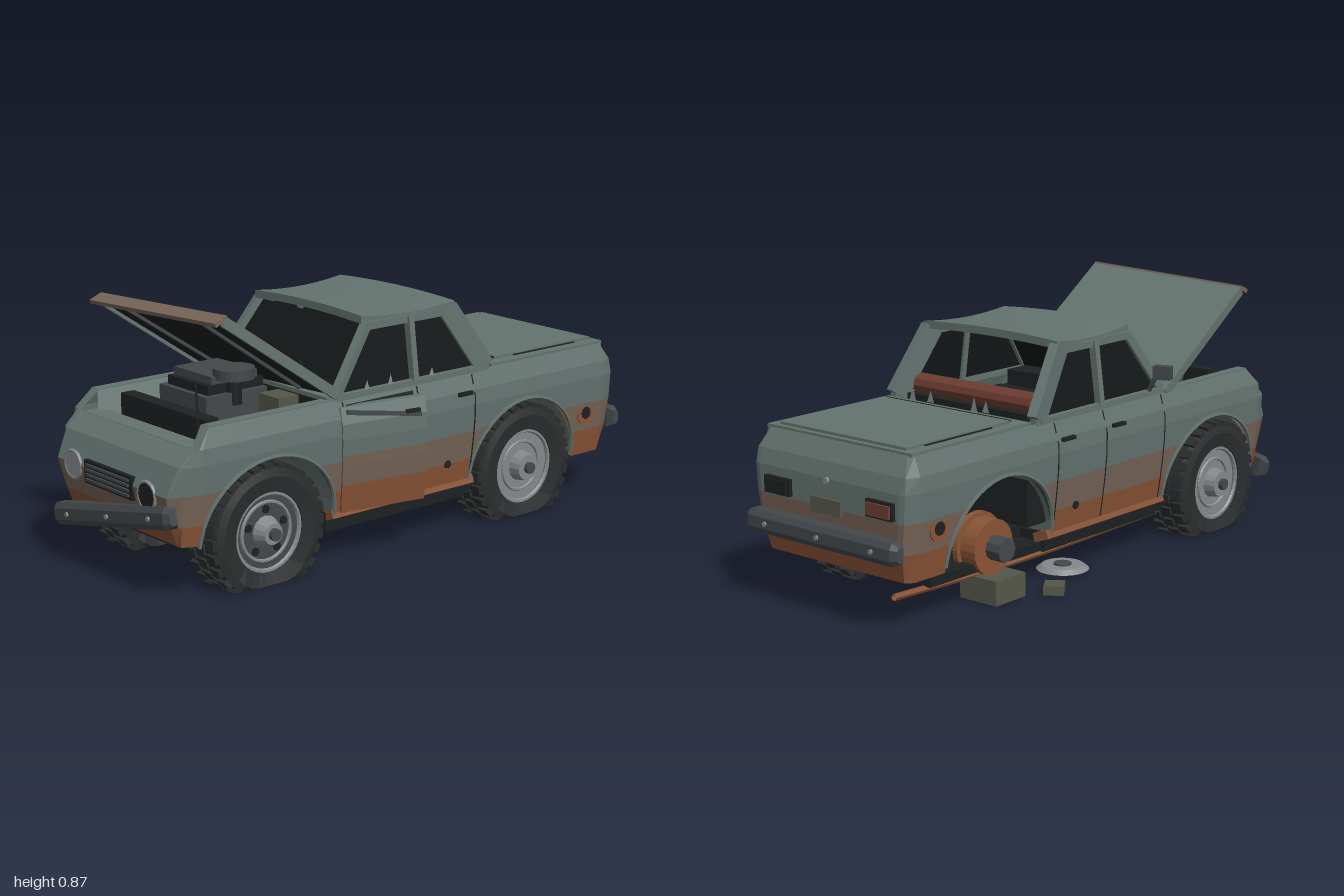
import * as THREE from 'three';

const PAINT = 0x64736f, RUST = 0x8a5436, MIX = 0x776558, DARK = 0x1d2122, RUBBER = 0x2b2d2e,
  STEEL = 0x85888a, TRIM = 0x43484b, CLAY = 0x6d3d30, GLASS = 0x141819, OLIVE = 0x55564a;

// Body section by height: [y, half width, nose z, tail z]
const SECTION = [[0.13, 0.305, 0.905, -0.9], [0.24, 0.322, 0.955, -0.925], [0.34, 0.335, 0.978, -0.935],
  [0.43, 0.341, 0.938, -0.935], [0.48, 0.337, 0.882, -0.922], [0.54, 0.314, 0.83, -0.888]];
const ARCHES = [{ z: -0.497, w: 0.25 }, { z: 0.605, w: 0.265 }];

function section(y, k) {
  let i = 0;
  while (i < SECTION.length - 2 && y > SECTION[i + 1][0]) i++;
  const a = SECTION[i], b = SECTION[i + 1];
  return THREE.MathUtils.mapLinear(y, a[0], b[0], a[k], b[k]);
}
function bottomEdge(z) {
  for (const a of ARCHES) {
    const d = (z - a.z) / a.w;
    if (Math.abs(d) < 1) return 0.166 + 0.245 * Math.sqrt(1 - d * d);
  }
  return z > 0.4 ? 0.175 : z < -0.5 ? 0.15 : 0.166;
}
function bodyPoint(side, z, level, offset = 0) {
  const y = Math.max(level, bottomEdge(z));
  const corner = 0.04 * THREE.MathUtils.clamp((Math.abs(z) - 0.88) / 0.1, 0, 1);
  return [side * (section(y, 1) - corner + offset), y, THREE.MathUtils.clamp(z, section(y, 3), section(y, 2))];
}

export function createModel() {
  const car = new THREE.Group();
  car.name = 'wreckedCar';
  const add = (name, geo, color, parent = car) => {
    const m = new THREE.Mesh(geo, new THREE.MeshStandardMaterial({ color, flatShading: true, side: THREE.DoubleSide }));
    m.name = name;
    parent.add(m);
    return m;
  };
  const box = (name, size, pos, color, parent = car, rot = [0, 0, 0]) => {
    const m = add(name, new THREE.BoxGeometry(...size), color, parent);
    m.position.set(...pos);
    m.rotation.set(...rot);
    return m;
  };
  // Cylinder lying along 'x' or 'z', or standing along 'y'
  const disc = (name, r, len, pos, axis, color, parent = car, r2 = r, n = 24) => {
    const g = new THREE.CylinderGeometry(r, r2, len, n);
    if (axis === 'x') g.rotateZ(-Math.PI / 2);
    if (axis === 'z') g.rotateX(Math.PI / 2);
    const m = add(name, g, color, parent);
    m.position.set(...pos);
    return m;
  };
  const beam = (name, a, b, w, d, color, parent = car) => {
    const p = new THREE.Vector3(...a), q = new THREE.Vector3(...b);
    const m = add(name, new THREE.BoxGeometry(w, d, p.distanceTo(q)), color, parent);
    m.position.copy(p).lerp(q, 0.5);
    m.quaternion.setFromRotationMatrix(new THREE.Matrix4().lookAt(q, p, m.up));
    return m;
  };
  const grid = (cols, rows, fn) => {
    const pos = [], idx = [];
    for (let j = 0; j < rows; j++) for (let i = 0; i < cols; i++) pos.push(...fn(i, j));
    for (let j = 0; j < rows - 1; j++) for (let i = 0; i < cols - 1; i++) {
      const a = j * cols + i, b = a + cols;
      idx.push(a, a + 1, b + 1, a, b + 1, b);
    }
    const g = new THREE.BufferGeometry();
    g.setAttribute('position', new THREE.Float32BufferAttribute(pos, 3));
    g.setIndex(idx);
    g.computeVertexNormals();
    return g;
  };
  const quad = (name, a, b, c, d, color) => add(name, grid(2, 2, (i, j) => [[a, b], [d, c]][j][i]), color);

  // Body shell: horizontal bands running round the car, cut by the wheel arches
  const zs = [-1, -0.93, -0.88, -0.8, -0.1, 0.1, 1, 0.93, 0.885];
  for (const a of ARCHES) for (let i = 0; i <= 18; i++) zs.push(a.z - a.w * Math.cos(i * Math.PI / 18));
  zs.sort((a, b) => a - b);
  const loop = [...zs.map(z => [-1, z]), ...zs.slice().reverse().map(z => [1, z]), [-1, -1]];
  [RUST, MIX, PAINT, PAINT].forEach((color, k) => add('bodyBand', grid(loop.length, 2,
    (i, j) => bodyPoint(loop[i][0], loop[i][1], SECTION[k + j][0])), color));
  for (const s of [-1, 1]) add('shoulder', grid(zs.length, 2,
    (i, j) => bodyPoint(s, s < 0 ? zs[i] : zs[zs.length - 1 - i], SECTION[4 + j][0])), PAINT);
  quad('tailShoulder', [0.297, 0.48, -0.922], [-0.297, 0.48, -0.922], [-0.274, 0.54, -0.888], [0.274, 0.54, -0.888], PAINT);
  const strip = (name, side, z0, z1, y0, y1, off, color) => add(name, grid(2, 6, (i, j) =>
    bodyPoint(side, [z0, z1][side < 0 ? i : 1 - i], y0 + (y1 - y0) * j / 5, off)), color);

  // Wheel tunnels and arch lips
  for (const a of ARCHES) {
    const arc = (t, x) => [x, 0.166 + 0.245 * Math.sin(t), a.z - a.w * Math.cos(t)];
    add('wheelTunnel', grid(2, 19, (i, j) => arc(j * Math.PI / 18, i ? 0.31 : -0.31)), PAINT);
    for (const s of [-1, 1]) {
      const pts = [];
      for (let i = 0; i <= 12; i++) {
        const p = arc(i * Math.PI / 12, 0);
        pts.push(new THREE.Vector3(s * section(p[1], 1), p[1], p[2]));
      }
      add('archLip', new THREE.TubeGeometry(new THREE.CatmullRomCurve3(pts), 24, 0.007, 5), PAINT);
    }
  }

  // Underside, sills and axles
  box('floorPan', [0.56, 0.065, 0.6], [0, 0.13, 0.05], DARK);
  box('chassis', [0.36, 0.07, 1.57], [0, 0.135, 0.02], DARK);
  box('floorPlate', [0.54, 0.03, 1.17], [0, 0.115, -0.187], DARK);
  box('frontCrossMember', [0.38, 0.025, 0.04], [0, 0.17, 0.84], TRIM);
  box('tailUnderside', [0.59, 0.01, 0.145], [0, 0.155, -0.825], RUST);
  box('noseUnderside', [0.58, 0.01, 0.06], [0, 0.18, 0.89], RUST);
  for (const s of [-1, 1]) box('sill', [0.06, 0.03, 0.62], [s * 0.284, 0.155, 0.04], RUST, car, [0, 0, s * 0.35]);
  for (const a of ARCHES) disc('axle', 0.022, 0.5, [0, 0.166, a.z], 'x', RUST, car, 0.022, 10);
  add('exhaust', new THREE.TubeGeometry(new THREE.CatmullRomCurve3([[-0.24, 0.09, 0.4], [-0.24, 0.08, -0.2],
    [-0.24, 0.085, -0.6], [-0.25, 0.1, -0.91]].map(p => new THREE.Vector3(...p))), 20, 0.011, 6), RUST);

  // Engine bay
  box('bayFloor', [0.58, 0.02, 0.54], [0, 0.42, 0.6], DARK);
  box('firewall', [0.6, 0.14, 0.02], [0, 0.47, 0.34], DARK);
  for (const s of [-1, 1]) {
    quad('bayWall', [s * 0.235, 0.43, 0.34], [s * 0.235, 0.43, 0.86], [s * 0.28, 0.54, 0.83], [s * 0.28, 0.54, 0.34], PAINT);
    box('fenderTop', [0.036, 0.01, 0.5], [s * 0.297, 0.536, 0.58], PAINT);
  }
  box('noseShelf', [0.56, 0.012, 0.07], [0, 0.472, 0.85], PAINT);
  box('radiator', [0.45, 0.11, 0.05], [0.01, 0.48, 0.76], DARK);
  box('engineBlock', [0.25, 0.14, 0.24], [-0.025, 0.49, 0.56], TRIM);
  box('cylinderHead', [0.21, 0.03, 0.22], [-0.025, 0.575, 0.55], DARK);
  box('valveCover', [0.2, 0.025, 0.18], [-0.025, 0.603, 0.55], TRIM);
  disc('airCleaner', 0.067, 0.034, [0.085, 0.622, 0.56], 'y', TRIM);
  disc('airCleanerStem', 0.025, 0.1, [0.085, 0.57, 0.56], 'y', DARK);
  box('battery', [0.1, 0.08, 0.08], [0.17, 0.51, 0.45], OLIVE);
  beam('antenna', [0.235, 0.5, 0.81], [0.23, 0.65, 0.815], 0.006, 0.006, DARK);

  // Raised hood, slightly twisted
  const hood = new THREE.Group();
  hood.name = 'hood';
  hood.position.set(0, 0.545, 0.335);
  hood.rotation.set(-0.595, 0, 0.05);
  car.add(hood);
  box('hoodPanel', [0.64, 0.014, 0.53], [0, 0.004, 0.265], PAINT, hood);
  box('hoodLining', [0.62, 0.008, 0.51], [0, -0.007, 0.265], DARK, hood);
  box('hoodLip', [0.64, 0.05, 0.014], [0, -0.01, 0.543], MIX, hood, [-0.6, 0, 0]);
  for (const s of [-1, 1]) {
    box('hoodRib', [0.012, 0.014, 0.48], [s * 0.18, -0.014, 0.27], TRIM, hood, [0, s * 0.05, 0]);
    box('hoodEdge', [0.012, 0.03, 0.53], [s * 0.314, -0.007, 0.265], PAINT, hood);
  }

  // Nose: grille, headlights
  box('grille', [0.26, 0.075, 0.03], [-0.01, 0.33, 0.965], DARK);
  for (let i = 0; i < 4; i++) box('grilleBar', [0.23, 0.008, 0.01], [-0.01, 0.306 + i * 0.016, 0.982], TRIM);
  for (const [x, y, c] of [[-0.21, 0.335, STEEL], [0.19, 0.325, DARK]]) {
    const ring = add('headlightRing', new THREE.TorusGeometry(0.044, 0.006, 6, 20), STEEL);
    ring.position.set(x, y, 0.974);
    disc('headlight', 0.042, 0.02, [x, y, 0.968], 'z', c);
  }

  // Bumpers with chamfered ends; the front one hangs loose
  const bumper = (name, y, z, tilt, turn) => {
    const g = new THREE.Group();
    g.name = name;
    g.position.set(-0.005, y, z);
    g.rotation.set(0, turn, tilt);
    car.add(g);
    const s = new THREE.Shape([[-0.026, -0.036], [0.012, -0.036], [0.024, -0.018], [0.024, 0.018], [0.012, 0.036], [-0.026, 0.036]]
      .map(p => new THREE.Vector2(...p)));
    const geo = new THREE.ExtrudeGeometry(s, { depth: 0.61, bevelThickness: 0.022, bevelSize: 0.012, bevelOffset: -0.012, bevelSegments: 1 });
    add('bumperBar', geo.translate(0, 0, -0.305).rotateY(-Math.PI / 2), TRIM, g);
    for (const e of [-0.23, 0, 0.23]) disc('bumperBolt', 0.008, 0.012, [e, 0, 0.024], 'z', STEEL, g, 0.008, 8);
  };
  bumper('frontBumper', 0.215, 0.968, 0.21, 0);
  bumper('rearBumper', 0.258, -0.965, 0, Math.PI);

  // Tail: deck, lid, lamps, plate
  box('rearDeck', [0.62, 0.012, 0.54], [0, 0.542, -0.618], PAINT);
  box('trunkLid', [0.54, 0.014, 0.47], [0, 0.55, -0.635], PAINT);
  box('trunkSeam', [0.54, 0.004, 0.006], [0, 0.556, -0.398], DARK);
  for (const s of [-1, 1]) box('trunkSideSeam', [0.006, 0.004, 0.3], [s * 0.272, 0.55, -0.64], DARK);
  for (const [x, c] of [[0.21, DARK], [-0.23, CLAY]]) {
    box('tailLampFrame', [0.11, 0.055, 0.025], [x, 0.375, -0.937], DARK);
    box('tailLamp', [0.095, 0.04, 0.03], [x, 0.375, -0.942], c);
  }
  box('blankPlate', [0.13, 0.05, 0.012], [0, 0.345, -0.94], OLIVE);
  disc('trunkLock', 0.01, 0.012, [0, 0.425, -0.938], 'z', STEEL);

  // Cabin: pillars, glazing, roof, interior
  box('cowl', [0.61, 0.014, 0.06], [0, 0.542, 0.335], PAINT);
  box('interior', [0.58, 0.3, 0.64], [0, 0.35, -0.02], DARK);
  disc('rearSeat', 0.036, 0.5, [-0.01, 0.585, -0.265], 'x', CLAY, car, 0.036, 10);
  box('rearSeatBase', [0.52, 0.06, 0.12], [-0.01, 0.53, -0.26], DARK);
  box('dashboard', [0.54, 0.06, 0.1], [0, 0.525, 0.26], DARK);
  for (const s of [-1, 1]) {
    beam('frontPillar', [s * 0.303, 0.545, 0.33], [s * 0.274, 0.755, 0.175], 0.028, 0.028, PAINT);
    beam('middlePillar', [s * 0.306, 0.545, 0.0], [s * 0.278, 0.755, 0.0], 0.022, 0.034, PAINT);
    beam('rearPillar', [s * 0.304, 0.545, -0.315], [s * 0.276, 0.755, -0.172], 0.034, 0.07, PAINT);
    box('beltRail', [0.026, 0.02, 0.66], [s * 0.305, 0.542, 0], PAINT);
    box('roofRail', [0.024, 0.025, 0.37], [s * 0.276, 0.748, 0], PAINT);
    quad('sideGlass', [s * 0.298, 0.55, 0.31], [s * 0.298, 0.55, -0.3], [s * 0.27, 0.75, -0.17], [s * 0.27, 0.75, 0.17], GLASS);
    beam('wiper', [s * 0.14 + 0.12, 0.56, 0.345], [s * 0.14 - 0.05, 0.585, 0.325], 0.006, 0.006, DARK);
  }
  beam('brokenWiper', [0.2, 0.55, 0.34], [0.18, 0.65, 0.37], 0.006, 0.006, DARK);
  quad('windshield', [-0.29, 0.55, 0.32], [0.29, 0.55, 0.32], [0.262, 0.75, 0.17], [-0.262, 0.75, 0.17], GLASS);
  const roof = new THREE.BoxGeometry(0.58, 0.026, 0.39, 8, 1, 10);
  const rp = roof.attributes.position;
  for (let i = 0; i < rp.count; i++) {
    const x = rp.getX(i), z = rp.getZ(i);
    rp.setX(i, x * (0.97 - 0.15 * z));
    rp.setY(i, rp.getY(i) + 0.765 + 0.35 * z * z - 0.12 * x * x);
  }
  add('roof', roof, PAINT);
  for (let i = 0; i < 7; i++) {
    const rear = i < 4;
    const m = add('glassShard', new THREE.ConeGeometry(0.018, 0.04 + 0.01 * (i % 2), 3).scale(1, 1, 0.2), STEEL);
    m.position.set(rear ? [-0.12, -0.07, 0.12, 0.2][i] : 0.308, rear ? 0.57 : 0.56, rear ? -0.345 : [-0.08, 0.1, 0.2][i - 4]);
    m.rotation.y = rear ? 0 : Math.PI / 2;
  }
  box('mirrorHead', [0.06, 0.045, 0.035], [-0.37, 0.62, 0.26], TRIM, car, [0, 0.3, 0]);
  beam('mirrorArm', [-0.31, 0.545, 0.26], [-0.345, 0.61, 0.26], 0.012, 0.012, TRIM);

  // Door seams, handles and rust holes
  for (const s of [-1, 1]) {
    for (const z of [0.315, 0, -0.247]) strip('doorSeam', s, z - 0.003, z + 0.003, 0.17, 0.53, 0.003, DARK);
    box('rearDoorHandle', [0.014, 0.012, 0.06], [s * 0.343, 0.475, -0.2], DARK);
    disc('rustPatch', 0.042, 0.014, [s * 0.326, 0.305, -0.795], 'x', RUST, car, 0.042, 12);
    disc('rustHole', 0.022, 0.02, [s * 0.326, 0.305, -0.795], 'x', DARK, car, 0.022, 10);
    disc('rustSpot', 0.014, 0.012, [s * 0.321, 0.24, -0.14], 'x', DARK, car, 0.014, 7);
  }
  box('closedDoorHandle', [0.014, 0.012, 0.06], [-0.343, 0.475, 0.06], DARK);
  strip('doorOpening', 1, 0.02, 0.305, 0.17, 0.52, 0.004, DARK);

  // Left front door, sagging open on its front hinge
  const door = new THREE.Group();
  door.name = 'openDoor';
  door.position.set(0.325, 0, 0.315);
  door.rotation.set(0.03, -0.25, 0);
  car.add(door);
  [[0.165, 0.26, RUST], [0.26, 0.36, MIX], [0.36, 0.515, PAINT]].forEach(([y0, y1, c]) => {
    const g = new THREE.BoxGeometry(0.026, y1 - y0, 0.3, 1, 3, 1).translate(0, (y0 + y1) / 2, -0.15);
    const p = g.attributes.position;
    for (let i = 0; i < p.count; i++) p.setX(i, p.getX(i) + section(p.getY(i), 1) - 0.33);
    add('doorPanel', g, c, door);
  });
  box('doorHandle', [0.012, 0.012, 0.05], [0.02, 0.475, -0.25], DARK, door);
  beam('doorTrim', [0.014, 0.5, -0.02], [0.02, 0.46, -0.28], 0.01, 0.014, TRIM, door);

  // Wheels: lathe tyre with tread lugs, squashed flat on the ground
  const squash = g => {
    const p = g.attributes.position;
    for (let i = 0; i < p.count; i++) if (p.getY(i) < -0.13) {
      p.setX(i, p.getX(i) * 1.08);
      p.setY(i, Math.max(p.getY(i), -0.166));
    }
    return g;
  };
  const wheel = (x, z, capped) => {
    const s = Math.sign(x), g = new THREE.Group();
    g.name = 'wheel';
    g.position.set(x, 0.166, z);
    if (s < 0) g.rotation.y = Math.PI;
    car.add(g);
    const pts = [[0.125, -0.07], [0.18, -0.078], [0.205, -0.07], [0.21, -0.05], [0.21, 0.05], [0.205, 0.07], [0.18, 0.078], [0.13, 0.07], [0.125, 0.05]];
    add('tyre', squash(new THREE.LatheGeometry(pts.map(p => new THREE.Vector2(...p)), 40).rotateZ(-Math.PI / 2)), RUBBER, g);
    for (let i = 0; i < 28; i++) for (let r = -1; r <= 1; r++) {
      const lug = new THREE.BoxGeometry(0.04, 0.016, 0.03).translate(r * 0.05, 0.211, 0).rotateX((i + (r ? 0 : 0.5)) * Math.PI / 14);
      add('treadLug', squash(lug), RUBBER, g);
    }
    disc('rim', 0.13, 0.1, [0, 0, 0], 'x', capped ? STEEL : TRIM, g, 0.13, 32);
    for (const [r, w] of [[0.125, 0.008], [capped ? 0.085 : 0.095, 0.006]])
      add('rimRing', new THREE.TorusGeometry(r, w, 6, 32).rotateY(Math.PI / 2).translate(r > 0.1 ? 0.06 : 0.052, 0, 0), STEEL, g);
    disc('hub', capped ? 0.045 : 0.035, 0.05, [0.065, 0, 0], 'x', STEEL, g, 0.055, 16);
    disc('hubCentre', 0.02, 0.02, [0.095, 0, 0], 'x', TRIM, g, 0.02, 10);
    if (!capped) for (let i = 0; i < 5; i++) {
      const t = i * Math.PI * 0.4;
      disc('rimHole', 0.014, 0.008, [0.05, 0.072 * Math.cos(t), 0.072 * Math.sin(t)], 'x', DARK, g, 0.014, 8);
    }
  };
  wheel(0.258, 0.615, false);
  wheel(-0.28, 0.615, true);
  wheel(0.258, -0.497, true);

  // Bare right rear hub, block below it, loose parts on the ground
  disc('brakeDrum', 0.09, 0.08, [-0.245, 0.17, -0.497], 'x', RUST);
  disc('drumFlange', 0.105, 0.02, [-0.215, 0.17, -0.497], 'x', RUST);
  disc('hubStub', 0.04, 0.06, [-0.31, 0.17, -0.497], 'x', TRIM, car, 0.04, 10);
  box('supportBlock', [0.15, 0.08, 0.14], [-0.265, 0.04, -0.48], OLIVE);
  box('looseBrick', [0.065, 0.03, 0.07], [-0.385, 0.015, -0.32], OLIVE, car, [0, 0.6, 0]);
  disc('looseHubcap', 0.07, 0.014, [-0.25, 0.013, -0.115], 'y', STEEL, car, 0.088, 28);
  disc('looseHubcapCentre', 0.03, 0.01, [-0.25, 0.02, -0.115], 'y', TRIM);
  return car;
}
